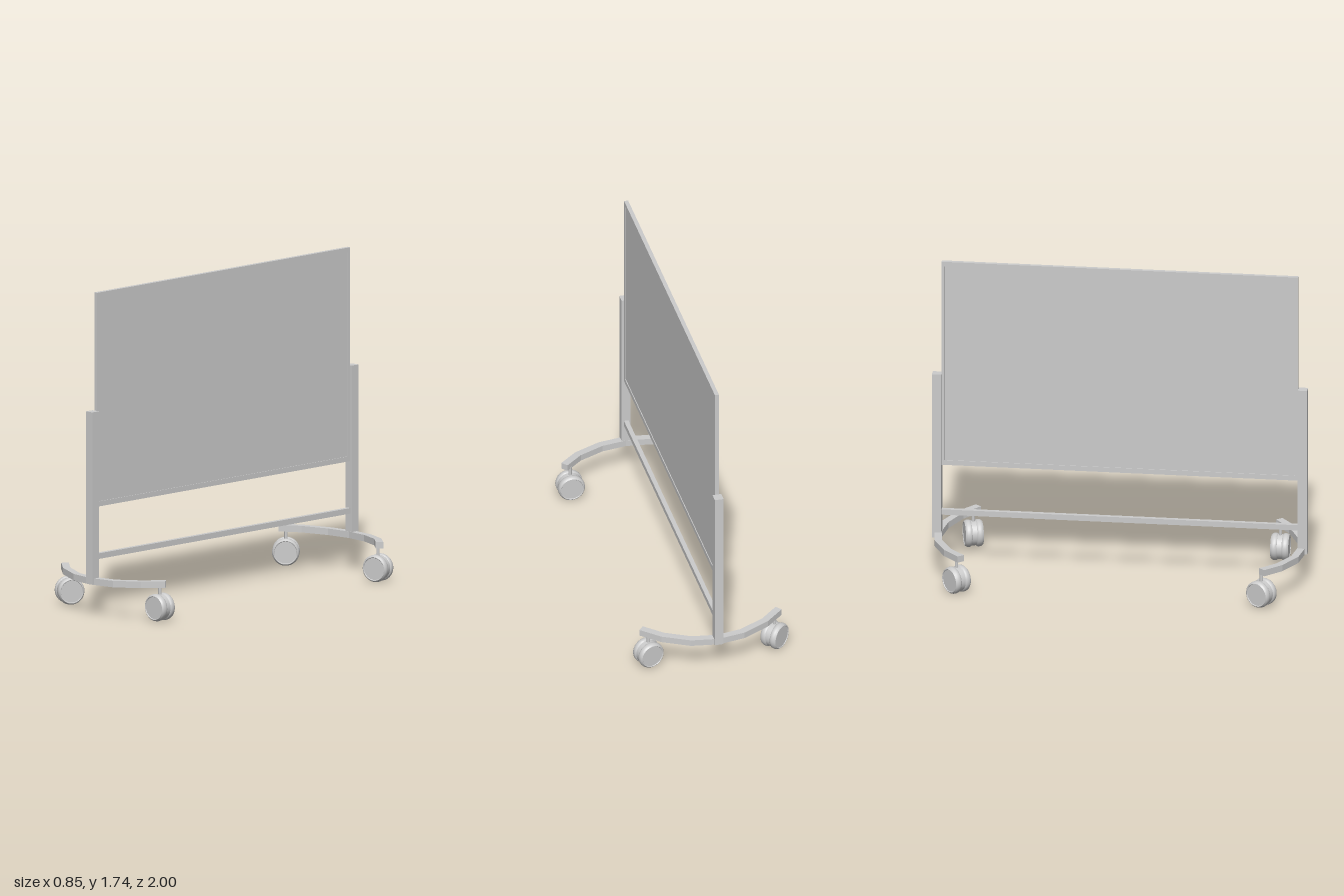
import * as THREE from 'three';
import { toCreasedNormals } from 'three/addons/utils/BufferGeometryUtils.js';

const material = new THREE.MeshStandardMaterial({ color: 0xcccccc });

function addMesh(parent, name, geometry, x = 0, y = 0, z = 0) {
  const mesh = new THREE.Mesh(geometry, material);
  mesh.name = name;
  mesh.position.set(x, y, z);
  parent.add(mesh);
  return mesh;
}

const box = (w, h, d) => new THREE.BoxGeometry(w, h, d);

// Faceted curved foot: a rectangular section swept along a bowed path
function footGeometry() {
  const half = [[0, 0.97, 0.193], [0.14, 0.95, 0.194], [0.28, 0.885, 0.199], [0.376, 0.802, 0.203]];
  const path = [...half.slice(1).reverse().map(([x, z, y]) => [-x, z, y]), ...half];
  const w = 0.02, h = 0.0175, positions = [], index = [];
  path.forEach(([x, z, y], i) => {
    const a = path[Math.max(i - 1, 0)], b = path[Math.min(i + 1, path.length - 1)];
    const dx = b[0] - a[0], dz = b[1] - a[1], len = Math.hypot(dx, dz);
    const nx = -dz / len * w, nz = dx / len * w;
    for (const [s, t] of [[1, 1], [1, -1], [-1, -1], [-1, 1]]) {
      positions.push(x + s * nx, y + t * h, z + s * nz);
    }
    if (i === 0) return;
    const p = (i - 1) * 4, q = i * 4;
    for (let k = 0; k < 4; k++) {
      const n = (k + 1) % 4;
      index.push(p + k, p + n, q + n, p + k, q + n, q + k);
    }
  });
  const e = (path.length - 1) * 4;
  index.push(0, 2, 1, 0, 3, 2, e, e + 1, e + 2, e, e + 2, e + 3);
  const indexed = new THREE.BufferGeometry();
  indexed.setAttribute('position', new THREE.Float32BufferAttribute(positions, 3));
  indexed.setIndex(index);
  const geometry = indexed.toNonIndexed();
  geometry.computeVertexNormals();
  return geometry;
}

// Wheel profile along its axle: dished face, rounded tread, inner side
function wheelGeometry() {
  const profile = [
    [0, 0.010], [0.062, 0.010], [0.068, 0.013], [0.072, 0.018], [0.073, 0.027],
    [0.072, 0.036], [0.069, 0.043], [0.064, 0.048], [0.061, 0.048], [0.059, 0.045], [0, 0.045],
  ].map(([r, y]) => new THREE.Vector2(r, y));
  const geometry = new THREE.LatheGeometry(profile, 32);
  geometry.rotateX(Math.PI / 2);
  return toCreasedNormals(geometry, 0.6);
}

// Twin-wheel caster with hood and stem; the axle points along local z
function makeCaster(x, z, axisX, axisZ) {
  const caster = new THREE.Group();
  caster.name = 'caster';
  const wheel = wheelGeometry();
  addMesh(caster, 'outerWheel', wheel, 0, 0.076, 0);
  addMesh(caster, 'innerWheel', wheel, 0, 0.076, 0).rotation.y = Math.PI;
  const hood = new THREE.CylinderGeometry(0.067, 0.067, 0.03, 32);
  hood.rotateX(Math.PI / 2);
  addMesh(caster, 'casterHood', hood, 0, 0.077, 0);
  addMesh(caster, 'casterStem', new THREE.CylinderGeometry(0.009, 0.009, 0.06, 16), 0, 0.162, 0);
  caster.position.set(x, 0, z);
  caster.rotation.y = Math.atan2(axisX, axisZ);
  return caster;
}

export function createModel() {
  const model = new THREE.Group();
  model.name = 'mobileBoard';

  // Board: recessed writing panel in a thin frame
  const board = new THREE.Group();
  board.name = 'board';
  addMesh(board, 'writingPanel', box(0.014, 1.12, 1.88), 0, 1.166, 0);
  addMesh(board, 'frameTop', box(0.022, 0.027, 1.9), 0, 1.7265, 0);
  addMesh(board, 'frameBottom', box(0.022, 0.027, 1.9), 0, 0.6035, 0);
  for (const s of [1, -1]) {
    addMesh(board, 'frameSide', box(0.022, 1.096, 0.017), 0, 1.165, s * 0.9415);
  }
  model.add(board);

  // Uprights, crossbar and curved feet
  addMesh(model, 'crossbar', box(0.024, 0.03, 1.9), 0, 0.323, 0);
  const foot = footGeometry();
  for (const s of [1, -1]) {
    addMesh(model, 'upright', box(0.048, 0.925, 0.05), 0, 0.6425, s * 0.975);
    addMesh(model, 'foot', foot).rotation.y = s > 0 ? 0 : Math.PI;
  }

  // Casters, each swivelled to its own direction
  const casters = [
    [0.342, 0.813, 0, 1],
    [-0.347, 0.797, 0.87, 0.5],
    [-0.347, -0.828, 0.67, 0.74],
    [0.342, -0.825, 0.27, 0.96],
  ];
  for (const c of casters) model.add(makeCaster(...c));

  return model;
}
